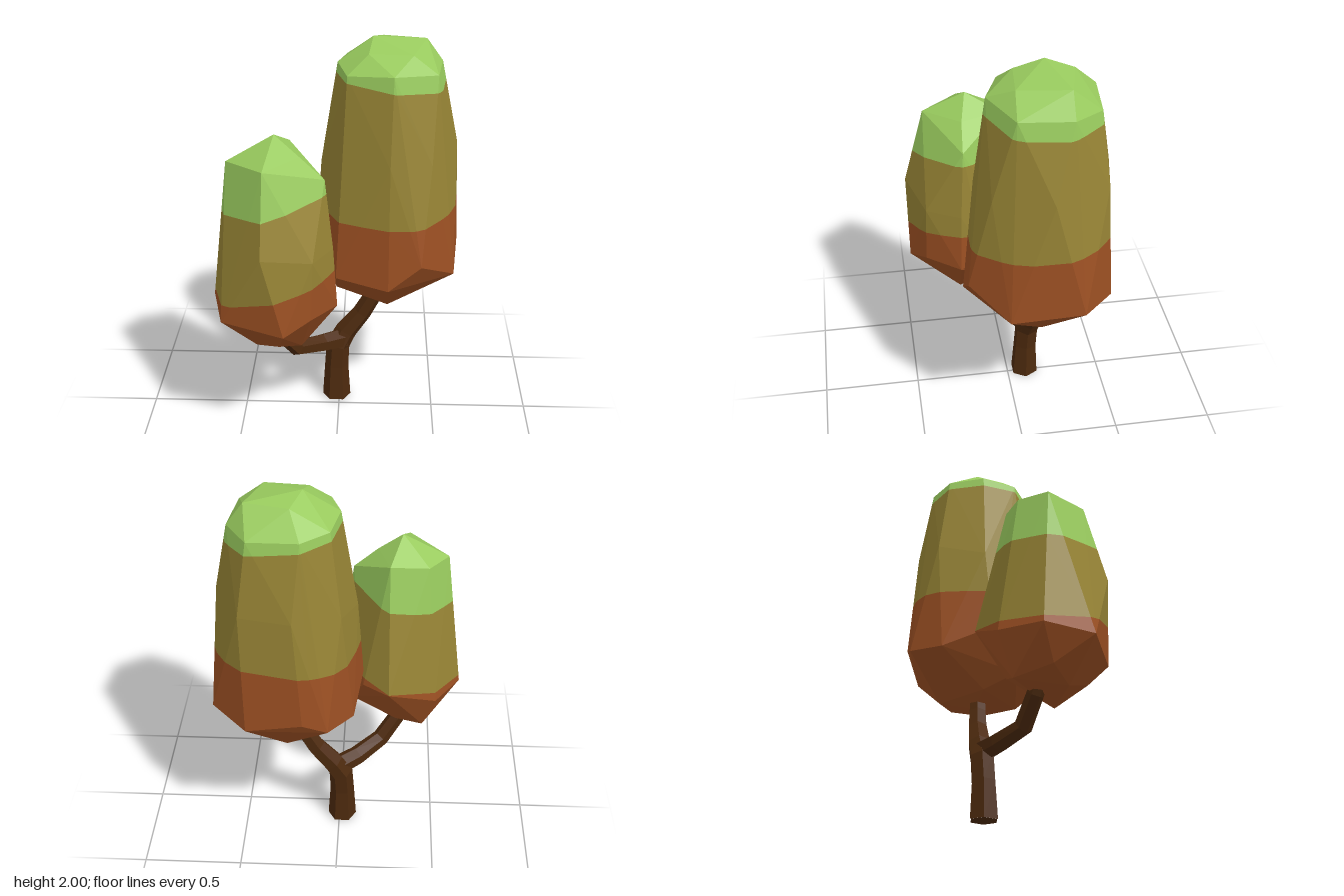
import * as THREE from 'three';
import { ConvexGeometry } from 'three/addons/geometries/ConvexGeometry.js';

const paint = (name, color) => Object.assign(new THREE.MeshStandardMaterial({ color }), { name });

// Keep the part of a polygon where f(point) >= 0
function clip(poly, f) {
  const out = [];
  poly.forEach((p, i) => {
    const q = poly[(i + 1) % poly.length], a = f(p), b = f(q);
    if (a >= 0) out.push(p);
    if ((a >= 0) !== (b >= 0)) out.push(p.clone().lerp(q, a / (a - b)));
  });
  return out;
}

// Faceted crown: convex hull cut into three colour bands by two tilted planes [height, slope in x, slope in z]
function crown(name, points, lowCut, highCut, bands) {
  const hull = new ConvexGeometry(points.map(p => new THREE.Vector3(...p)));
  const pos = hull.getAttribute('position');
  const above = cut => p => p.y - cut[0] - cut[1] * p.x - cut[2] * p.z;
  const below = cut => p => -above(cut)(p);
  const filters = [[below(lowCut)], [above(lowCut), below(highCut)], [above(highCut)]];
  const group = new THREE.Group();
  group.name = name;
  bands.forEach(([bandName, material], b) => {
    const verts = [];
    for (let i = 0; i < pos.count; i += 3) {
      let poly = [0, 1, 2].map(k => new THREE.Vector3().fromBufferAttribute(pos, i + k));
      for (const f of filters[b]) poly = clip(poly, f);
      for (let k = 1; k + 1 < poly.length; k++) verts.push(poly[0], poly[k], poly[k + 1]);
    }
    const geo = new THREE.BufferGeometry().setFromPoints(verts);
    geo.computeVertexNormals();
    const mesh = new THREE.Mesh(geo, material);
    mesh.name = bandName;
    group.add(mesh);
  });
  return group;
}

// Six-sided limb along [x, y, z, radius] stations, with flat facets
function limb(name, stations, material) {
  const path = new THREE.CurvePath();
  const pts = stations.map(s => new THREE.Vector3(s[0], s[1], s[2]));
  const curve = new THREE.CatmullRomCurve3(pts);
  path.getPointAt = u => curve.getPoint(u);
  path.getTangentAt = u => curve.getTangent(u);
  const n = stations.length - 1, sides = 6;
  const tube = new THREE.TubeGeometry(path, n, 1, sides);
  const pos = tube.getAttribute('position'), v = new THREE.Vector3();
  for (let i = 0; i < pos.count; i++) {
    const k = Math.floor(i / (sides + 1));
    v.fromBufferAttribute(pos, i).sub(pts[k]).multiplyScalar(stations[k][3]).add(pts[k]);
    // the foot is cut level with the ground
    pos.setXYZ(i, v.x, k === 0 && pts[0].y === 0 ? 0 : v.y, v.z);
  }
  const geo = tube.toNonIndexed();
  geo.computeVertexNormals();
  const mesh = new THREE.Mesh(geo, material);
  mesh.name = name;
  return mesh;
}

export function createModel() {
  const model = new THREE.Group();
  model.name = 'tree';
  const bark = paint('dark bark', 0x4d2a0e);
  const bands = [
    ['lowerFoliage', paint('rust foliage', 0x9c5023)],
    ['middleFoliage', paint('olive foliage', 0x978435)],
    ['topFoliage', paint('green foliage', 0x99cb5e)],
  ];

  // Trunk running on into the tall crown's branch, and the side branch
  model.add(limb('trunk', [
    [-0.015, 0, -0.095, 0.075], [-0.015, 0.19, -0.098, 0.063], [-0.008, 0.31, -0.105, 0.063],
    [0.035, 0.39, -0.118, 0.058], [0.12, 0.5, -0.125, 0.05], [0.175, 0.6, -0.125, 0.046], [0.23, 0.72, -0.125, 0.042],
  ], bark));
  model.add(limb('sideBranch', [
    [0.02, 0.345, -0.11, 0.055], [-0.09, 0.358, -0.03, 0.05], [-0.215, 0.395, 0.08, 0.045],
    [-0.305, 0.52, 0.13, 0.042], [-0.35, 0.64, 0.17, 0.038],
  ], bark));
  const foot = new THREE.Mesh(new THREE.CircleGeometry(0.07, 6).rotateX(Math.PI / 2), bark);
  foot.position.set(-0.015, 0.001, -0.095);
  foot.name = 'trunkBase';
  model.add(foot);

  // Tall crown: underside, widest ring, waist, shoulder, top
  model.add(crown('tallCrown', [
    [0.22, 0.645, -0.14], [0.45, 0.69, -0.1], [0.04, 0.68, -0.1], [0.25, 0.657, 0.07], [0.25, 0.68, -0.32],
    [-0.01, 0.75, 0.06], [0.4, 0.69, -0.26],
    [-0.01, 0.85, 0.16], [0.25, 0.83, 0.26], [0.41, 0.96, 0.25], [0.58, 0.84, 0.07], [0.615, 0.88, -0.28],
    [0.44, 0.85, -0.44], [0.16, 0.93, -0.49], [0.04, 0.88, -0.47], [-0.08, 0.86, -0.31], [-0.12, 0.95, -0.06],
    [0.58, 1.48, -0.13], [0.45, 1.48, -0.4], [0.2, 1.48, -0.45], [-0.02, 1.45, -0.34],
    [-0.09, 1.38, -0.1], [0.02, 1.4, 0.1], [0.25, 1.45, 0.2], [0.45, 1.45, 0.14],
    [0.5, 1.86, -0.22], [0.47, 1.86, 0.03], [0.26, 1.88, 0.14], [0.04, 1.86, 0.06],
    [-0.01, 1.88, -0.11], [0.03, 1.87, -0.29], [0.16, 1.86, -0.38], [0.4, 1.85, -0.36],
    [0.16, 2.0, -0.14], [0.42, 1.97, -0.22], [0.35, 1.95, 0.02], [0.14, 1.95, 0], [0.21, 1.97, -0.27],
  ], [1.15, 0.03, -0.07], [1.83, -0.11, 0], bands));

  // Short crown: underside, widest ring, sides, shoulder, peak
  model.add(crown('shortCrown', [
    [-0.18, 0.5, 0.23], [-0.4, 0.53, 0.28], [-0.52, 0.59, 0.2], [-0.28, 0.58, 0.38],
    [-0.43, 0.55, 0.02], [-0.29, 0.6, 0], [-0.05, 0.68, 0.08],
    [-0.62, 0.75, 0.15], [-0.49, 0.76, -0.05], [-0.25, 0.86, -0.15], [-0.12, 0.86, -0.06], [-0.02, 0.82, 0.12],
    [0, 0.74, 0.24], [-0.12, 0.75, 0.41], [-0.25, 0.69, 0.485], [-0.56, 0.72, 0.39],
    [-0.35, 1.1, 0.485], [-0.11, 1.05, 0.4], [-0.02, 1.05, 0.23],
    [-0.53, 1.48, 0.19], [-0.43, 1.49, 0.05], [-0.24, 1.52, 0], [-0.06, 1.4, 0.21], [-0.34, 1.5, 0.38],
    [-0.18, 1.51, 0.2], [-0.3, 1.61, 0.17],
  ], [0.93, 0.25, 0.03], [1.34, 0.2, 0], bands));

  return model;
}
